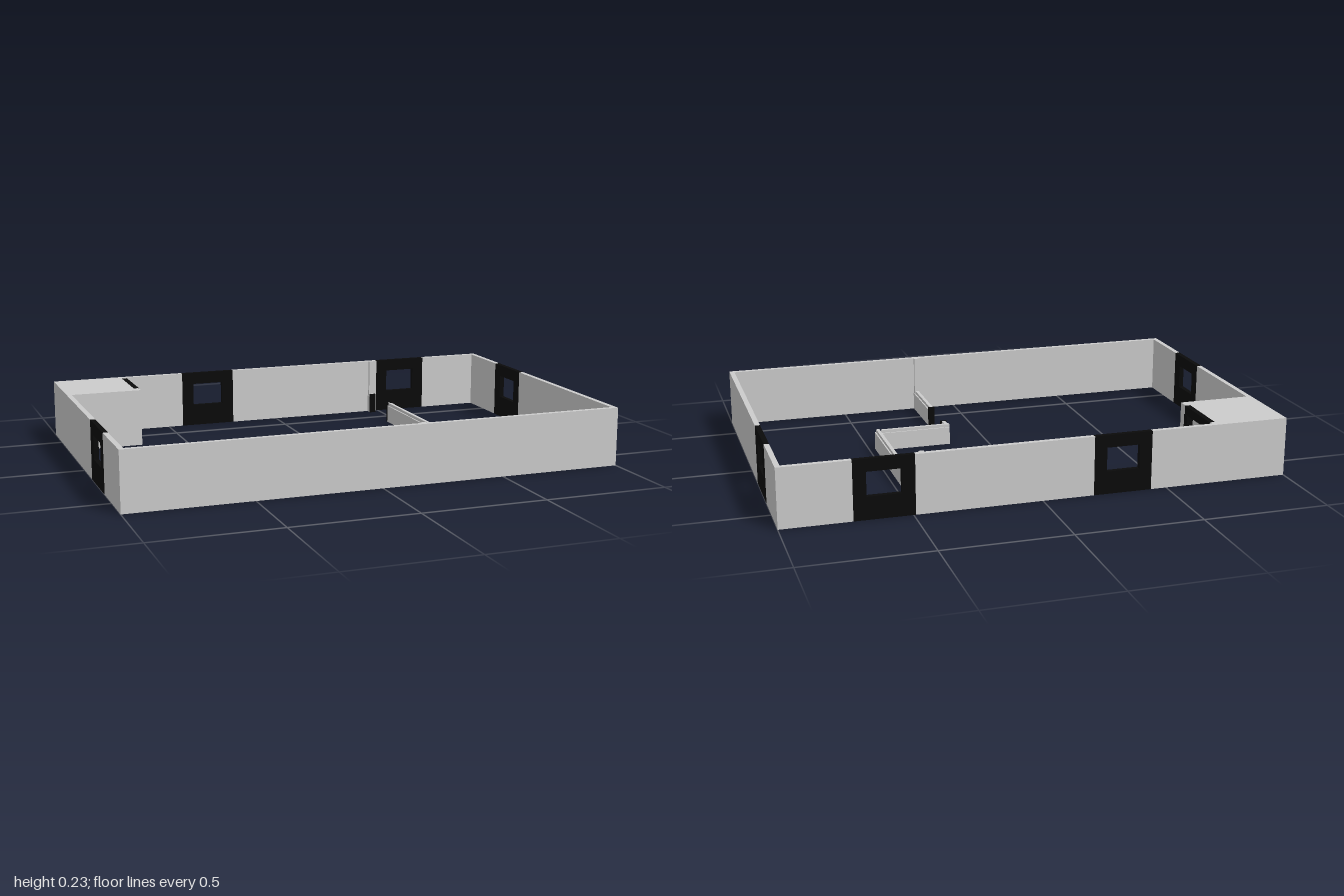
import * as THREE from 'three';

const H = 0.235, T = 0.02, LOW = 0.085;
const grey = new THREE.MeshStandardMaterial({ color: 0xcccccc });
const black = new THREE.MeshStandardMaterial({ color: 0x0a0a0a });

// Box given by its extents
function block(parent, name, x0, x1, y0, y1, z0, z1, mat = grey) {
  const m = new THREE.Mesh(new THREE.BoxGeometry(x1 - x0, y1 - y0, z1 - z0), mat);
  m.position.set((x0 + x1) / 2, (y0 + y1) / 2, (z0 + z1) / 2);
  m.name = name;
  parent.add(m);
}

// Full-height black panel with a rectangular opening, centred on its own origin
function windowPanel() {
  const w = 0.1165;
  const s = new THREE.Shape();
  s.moveTo(-w, 0).lineTo(w, 0).lineTo(w, H).lineTo(-w, H).closePath();
  const h = new THREE.Path();
  h.moveTo(-0.066, 0.09).lineTo(-0.066, 0.186).lineTo(0.066, 0.186).lineTo(0.066, 0.09).closePath();
  s.holes.push(h);
  const g = new THREE.ExtrudeGeometry(s, { depth: T, bevelEnabled: false });
  g.translate(0, 0, -T / 2);
  const m = new THREE.Mesh(g, black);
  m.name = 'windowPanel';
  return m;
}

// Outer wall along x or z, split around its windows
function outerWall(parent, name, axis, at, from, to, windows) {
  const g = new THREE.Group();
  g.name = name;
  let start = from;
  const segment = (a, b) => {
    if (axis === 'x') block(g, 'wallSegment', a, b, 0, H, at - T / 2, at + T / 2);
    else block(g, 'wallSegment', at - T / 2, at + T / 2, 0, H, a, b);
  };
  for (const c of windows) {
    segment(start, c - 0.1165);
    start = c + 0.1165;
    const p = windowPanel();
    if (axis === 'x') p.position.set(c, 0, at);
    else { p.position.set(at, 0, c); p.rotation.y = Math.PI / 2; }
    g.add(p);
  }
  segment(start, to);
  parent.add(g);
}

// Low partition: a core with slightly lower facings on both sides
function lowWall(parent, axis, at, from, to) {
  for (const [half, top] of [[0.007, LOW], [0.0125, LOW - 0.012]]) {
    if (axis === 'x') block(parent, 'partition', from, to, 0, top, at - half, at + half);
    else block(parent, 'partition', at - half, at + half, 0, top, from, to);
  }
}

export function createModel() {
  const model = new THREE.Group();
  model.name = 'floorPlan';

  // Outer walls
  outerWall(model, 'frontWall', 'x', 0.64, -1, 1, []);
  outerWall(model, 'backWall', 'x', -0.64, -0.69, 1, [-0.32, 0.608]);
  outerWall(model, 'leftWall', 'z', 0.99, -0.63, 0.63, [-0.263]);
  outerWall(model, 'rightWall', 'z', -0.99, -0.34, 0.63, [0.26]);

  // Closed corner block with its door
  const corner = new THREE.Group();
  corner.name = 'cornerBlock';
  block(corner, 'blockBody', -1, -0.71, 0, H, -0.65, -0.34);
  block(corner, 'blockFaceBack', -0.71, -0.69, 0, H, -0.65, -0.615);
  block(corner, 'blockFaceFront', -0.71, -0.69, 0, H, -0.385, -0.34);
  block(corner, 'doorLintel', -0.71, -0.688, 0.2, H, -0.615, -0.385, black);
  for (const z of [-0.6, -0.4])
    block(corner, 'doorJamb', -0.71, -0.685, 0, 0.2, z - 0.015, z + 0.015, black);
  block(corner, 'doorStile', -0.71, -0.7, 0, 0.2, -0.57, -0.555, black);
  model.add(corner);

  // Low interior partitions
  const partitions = new THREE.Group();
  partitions.name = 'partitions';
  lowWall(partitions, 'z', 0.462, -0.4, 0.125);
  lowWall(partitions, 'x', 0.112, 0.16, 0.45);
  lowWall(partitions, 'z', 0.172, 0.112, 0.155);
  lowWall(partitions, 'z', 0.172, 0.36, 0.63);
  lowWall(partitions, 'z', 0.462, -0.63, -0.605);

  // Dark jambs at the door openings
  for (const [x, z] of [[0.462, -0.397], [0.172, 0.157], [0.172, 0.361], [0.462, -0.602]])
    block(partitions, 'openingJamb', x - 0.013, x + 0.013, 0, LOW, z - 0.005, z + 0.005, black);

  // Full-height posts where partitions meet the outer walls
  block(partitions, 'post', 0.452, 0.472, 0, H, -0.632, -0.618);
  block(partitions, 'post', 0.162, 0.182, 0, H, 0.618, 0.632);
  model.add(partitions);

  return model;
}
